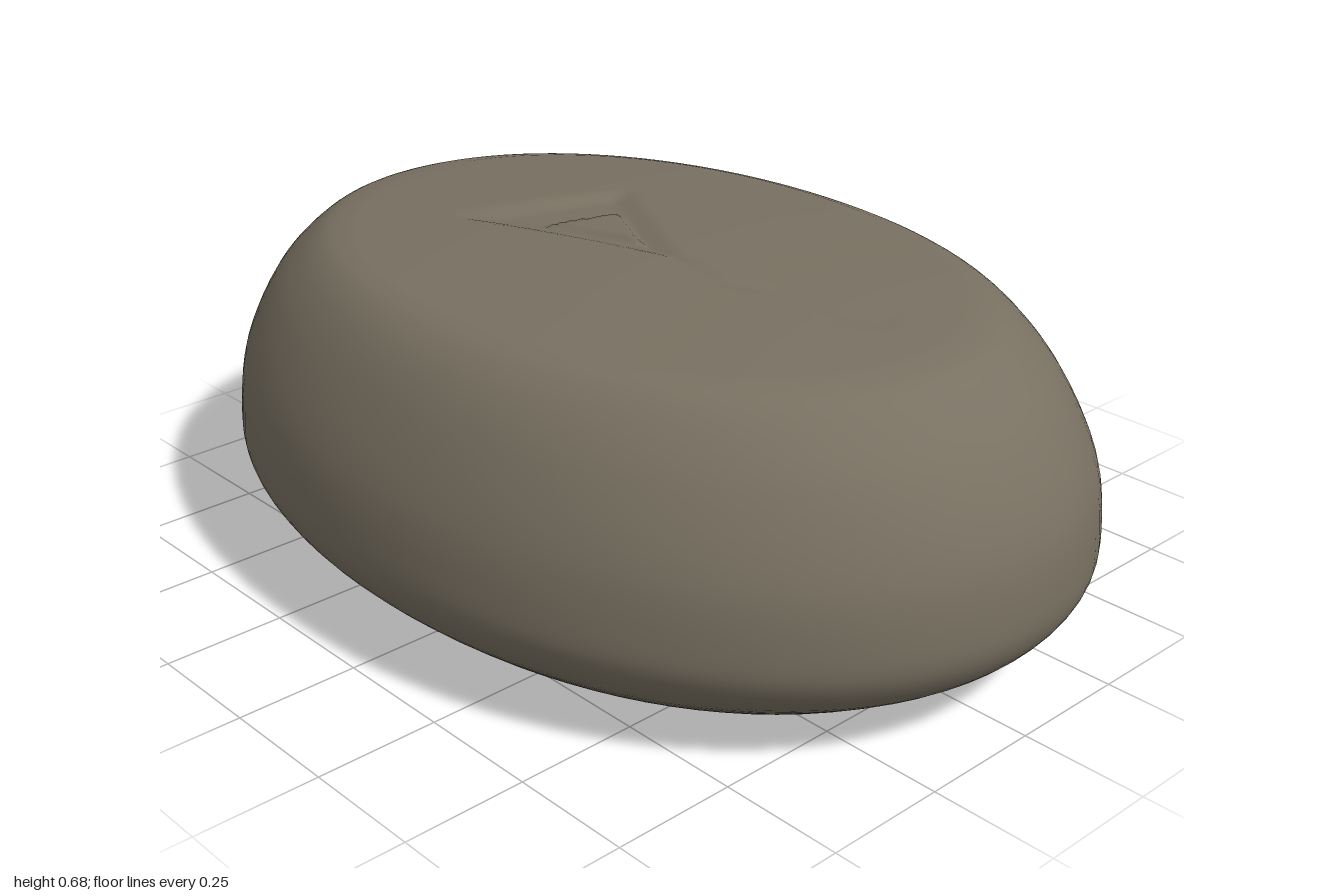
import * as THREE from 'three';
import { mergeVertices } from 'three/addons/utils/BufferGeometryUtils.js';

const SEGMENTS = 96;
const TOP_RINGS = 48;

// Half width, height and half length of the stone, from the base to the top rim
const OUTLINE = [
  [0.50, 0.008, 0.72], [0.56, 0.03, 0.79], [0.63, 0.08, 0.88], [0.69, 0.14, 0.96],
  [0.72, 0.20, 0.995], [0.72, 0.27, 1.0], [0.70, 0.38, 0.985], [0.64, 0.52, 0.91],
  [0.585, 0.60, 0.83], [0.54, 0.637, 0.775], [0.50, 0.652, 0.71],
];

const smooth = (a, b, v) => THREE.MathUtils.smoothstep(v, a, b);

// Distance from (x, z) to the segment a-b
function segmentDistance(x, z, a, b) {
  const dx = b[0] - a[0], dz = b[1] - a[1];
  const t = THREE.MathUtils.clamp(((x - a[0]) * dx + (z - a[1]) * dz) / (dx * dx + dz * dz), 0, 1);
  return Math.hypot(x - a[0] - t * dx, z - a[1] - t * dz);
}

// Signed distance inside a triangle given by its corners (positive inside)
function insideTriangle(x, z, corners) {
  let depth = Infinity;
  corners.forEach((a, i) => {
    const b = corners[(i + 1) % 3];
    const dx = b[0] - a[0], dz = b[1] - a[1];
    depth = Math.min(depth, (dx * (z - a[1]) - dz * (x - a[0])) / Math.hypot(dx, dz));
  });
  return depth;
}

const HOLLOW = [[-0.20, -0.42], [0.21, -0.27], [-0.03, 0.16]];
const CHIP = [[-0.09, -0.22], [0.08, -0.16], [-0.01, 0.01]];
const CRACK = [[-0.03, 0.12], [-0.05, 0.26], [0.0, 0.36], [0.01, 0.52], [0.06, 0.58]];

// Shallow hollow, raised chip and a hairline crack worn into the top
function topRelief(x, z) {
  let y = -0.014 * smooth(0, 0.06, insideTriangle(x, z, HOLLOW));
  y += 0.016 * smooth(-0.005, 0.02, insideTriangle(x, z, CHIP));
  let crack = Infinity;
  for (let i = 1; i < CRACK.length; i++) {
    crack = Math.min(crack, segmentDistance(x, z, CRACK[i - 1], CRACK[i]));
  }
  return y - 0.004 * (1 - smooth(0, 0.03, crack));
}

function stoneGeometry() {
  // Rings of the rounded side, then of the gently domed top
  const curve = new THREE.CatmullRomCurve3(OUTLINE.map((p) => new THREE.Vector3(...p)));
  const rings = [new THREE.Vector3(0, 0.004, 0), ...curve.getPoints(40)];
  const [rimX, rimY, rimZ] = OUTLINE[OUTLINE.length - 1];
  const topStart = rings.length;
  for (let i = 1; i <= TOP_RINGS; i++) {
    const t = 1 - i / TOP_RINGS;
    rings.push(new THREE.Vector3(rimX * t, rimY + 0.027 * (1 - t * t), rimZ * t));
  }

  const positions = [], index = [];
  const round = (v) => Math.sign(v) * Math.abs(v) ** 0.97;
  rings.forEach((ring, r) => {
    for (let s = 0; s < SEGMENTS; s++) {
      const a = (s / SEGMENTS) * Math.PI * 2;
      const x = ring.x * round(Math.sin(a)), z = ring.z * round(Math.cos(a));
      positions.push(x, ring.y + (r >= topStart ? topRelief(x, z) : 0), z);
      if (r === rings.length - 1) continue;
      const p = r * SEGMENTS + s, q = r * SEGMENTS + ((s + 1) % SEGMENTS);
      if (r > 0) index.push(p, q, q + SEGMENTS);
      if (r < rings.length - 2) index.push(p, q + SEGMENTS, p + SEGMENTS);
      else index.push(p, q, p + SEGMENTS);
    }
  });

  const geometry = new THREE.BufferGeometry();
  geometry.setAttribute('position', new THREE.Float32BufferAttribute(positions, 3));
  geometry.setIndex(index);
  const merged = mergeVertices(geometry, 1e-5);
  merged.computeVertexNormals();
  return merged;
}

export function createModel() {
  const model = new THREE.Group();
  model.name = 'pebble';
  const stone = new THREE.MeshStandardMaterial({ color: 0x787061 });
  stone.name = 'warm grey stone';
  const body = new THREE.Mesh(stoneGeometry(), stone);
  body.name = 'stoneBody';
  model.add(body);
  return model;
}
